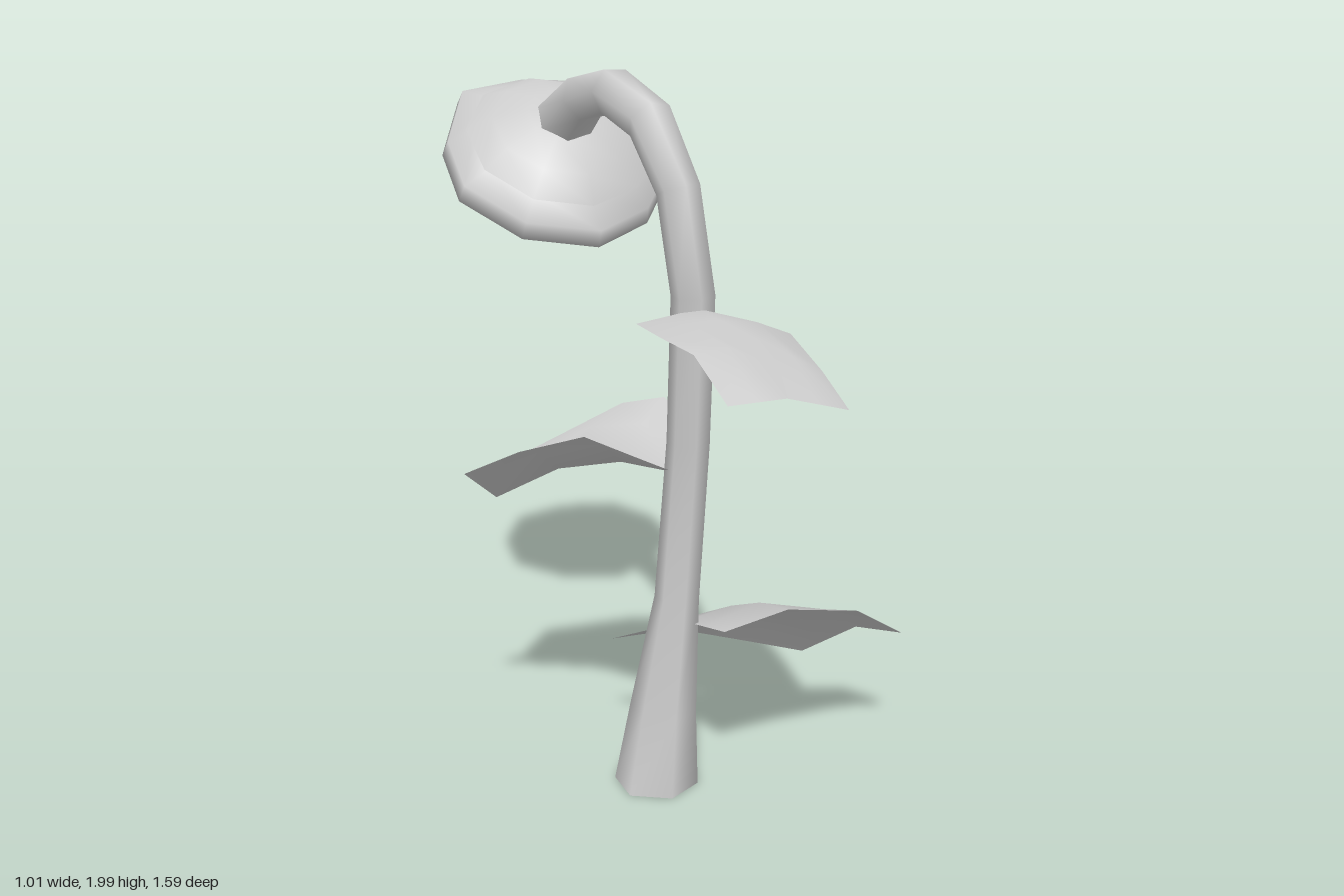
import * as THREE from 'three';

const material = new THREE.MeshStandardMaterial({ color: 0xcccccc, side: THREE.DoubleSide });

function addMesh(parent, name, geometry) {
  const mesh = new THREE.Mesh(geometry, material);
  mesh.name = name;
  parent.add(mesh);
  return mesh;
}

// Smooth surface through rows of points; "closed" joins each row into a ring
function gridGeometry(rows, closed = false) {
  const n = rows[0].length;
  const index = [];
  for (let i = 0; i < rows.length - 1; i++) {
    for (let j = 0; j < (closed ? n : n - 1); j++) {
      const k = (j + 1) % n;
      const a = i * n + j, b = i * n + k, c = (i + 1) * n + k, d = (i + 1) * n + j;
      index.push(a, b, c, a, c, d);
    }
  }
  const geometry = new THREE.BufferGeometry();
  geometry.setAttribute('position', new THREE.Float32BufferAttribute(rows.flat(2), 3));
  geometry.setIndex(index);
  geometry.computeVertexNormals();
  return geometry;
}

// Six-sided tapering tube along [x, y, z, radius] stations
function stemGeometry(stations, sides = 6) {
  const pts = stations.map(([x, y, z]) => new THREE.Vector3(x, y, z));
  const rows = pts.map((p, i) => {
    const t = i === 0
      ? new THREE.Vector3(0, 1, 0)
      : pts[Math.min(i + 1, pts.length - 1)].clone().sub(pts[i - 1]).normalize();
    const u = new THREE.Vector3(1, 0, 0);
    u.addScaledVector(t, -u.dot(t)).normalize();
    const v = t.clone().cross(u);
    return Array.from({ length: sides }, (_, j) => {
      const a = (j / sides) * Math.PI * 2;
      const r = stations[i][3];
      return p.clone()
        .addScaledVector(u, Math.cos(a) * r)
        .addScaledVector(v, Math.sin(a) * r)
        .toArray();
    });
  });
  return gridGeometry(rows, true);
}

// Leaf blade: extra columns between edge and midrib are puffed up into soft folds
function leafGeometry(rows) {
  const puff = [0, 0.015, 0.025, 0];
  return gridGeometry(rows.map(([left, mid, right], i) => {
    const between = (a, b) => a.map((v, k) => (v + b[k]) / 2 + (k === 1 ? puff[i] : 0));
    return [left, between(left, mid), mid, between(mid, right), right];
  }));
}

function lathe(profile, sides) {
  return new THREE.LatheGeometry(profile.map(([r, a]) => new THREE.Vector2(r, a)), sides);
}

export function createModel() {
  const model = new THREE.Group();
  model.name = 'droopingFlower';

  // Stem: wide foot, slight lean, arching over and running into the head
  addMesh(model, 'stem', stemGeometry([
    [-0.15, 0, 0.14, 0.12],
    [-0.125, 0.22, 0.145, 0.095],
    [-0.09, 0.55, 0.165, 0.063],
    [-0.055, 1.0, 0.175, 0.06],
    [-0.085, 1.42, 0.21, 0.06],
    [-0.1, 1.7, 0.17, 0.06],
    [-0.08, 1.87, 0.06, 0.066],
    [0.0, 1.932, -0.13, 0.068],
    [0.055, 1.905, -0.28, 0.07],
    [0.11, 1.82, -0.41, 0.085],
    [0.14, 1.75, -0.47, 0.09],
  ]));
  const foot = addMesh(model, 'stemFoot', new THREE.CircleGeometry(0.12, 6));
  foot.rotation.x = Math.PI / 2;
  foot.position.set(-0.15, 0, 0.14);

  // Flower head, built along +y and tipped to look down and backward
  const head = new THREE.Group();
  head.name = 'flowerHead';
  const sides = 10;
  addMesh(head, 'headBack', lathe(
    [[0.001, -0.11], [0.11, -0.095], [0.21, -0.055], [0.28, 0]], sides));

  // Ragged petal ring: flares out behind the rim, then curls forward and in
  const petals = lathe([[0.255, 0], [0.335, 0.045], [0.345, 0.1], [0.255, 0.06]], sides);
  const pos = petals.attributes.position;
  const ragged = [1.04, 0.98, 1.02, 0.97, 1.06, 0.98, 1.03, 0.97, 1.05, 0.99];
  for (let i = 0; i < pos.count; i++) {
    const ring = i % 4;
    if (ring === 0 || ring === 3) continue;
    const s = ragged[Math.floor(i / 4) % sides];
    pos.setXYZ(i, pos.getX(i) * s, pos.getY(i) - (s - 1) * 0.3, pos.getZ(i) * s);
  }
  petals.computeVertexNormals();
  addMesh(head, 'petalRing', petals);
  addMesh(head, 'seedFace', lathe(
    [[0.255, 0.06], [0.2, 0.035], [0.1, 0.015], [0.001, 0.01]], sides));
  head.quaternion.setFromUnitVectors(
    new THREE.Vector3(0, 1, 0), new THREE.Vector3(0.3, -0.8, -0.5).normalize());
  head.position.set(0.15, 1.765, -0.455);
  model.add(head);

  // Leaves: rows run from stem to tip, each row across the blade
  const leaves = {
    upperLeaf: [
      [[-0.24, 1.36, 0.14], [-0.1, 1.39, 0.24], [0.05, 1.32, 0.28]],
      [[-0.33, 1.36, 0.29], [-0.19, 1.39, 0.38], [0.025, 1.33, 0.45]],
      [[-0.43, 1.36, 0.47], [-0.27, 1.33, 0.56], [-0.1, 1.28, 0.63]],
      [[-0.51, 1.275, 0.63], [-0.38, 1.28, 0.71], [-0.22, 1.23, 0.785]],
    ],
    middleLeaf: [
      [[-0.31, 1.02, 0.2], [-0.07, 0.91, 0.14], [0.15, 0.99, 0.04]],
      [[-0.35, 1.06, 0.05], [-0.11, 0.92, -0.02], [0.14, 1.05, -0.06]],
      [[-0.39, 0.99, -0.15], [-0.17, 0.88, -0.2], [0.07, 1.03, -0.16]],
      [[-0.42, 0.9, -0.33], [-0.25, 0.78, -0.37], [-0.1, 0.865, -0.41]],
    ],
    lowerLeaf: [
      [[-0.13, 0.51, 0.36], [-0.06, 0.47, 0.17], [-0.02, 0.325, -0.13]],
      [[0.03, 0.55, 0.46], [0.1, 0.48, 0.22], [0.13, 0.34, 0.0]],
      [[0.27, 0.49, 0.54], [0.3, 0.38, 0.3], [0.32, 0.27, 0.12]],
      [[0.46, 0.37, 0.58], [0.5, 0.33, 0.4], [0.5, 0.2, 0.21]],
    ],
  };
  for (const [name, rows] of Object.entries(leaves)) addMesh(model, name, leafGeometry(rows));

  return model;
}
